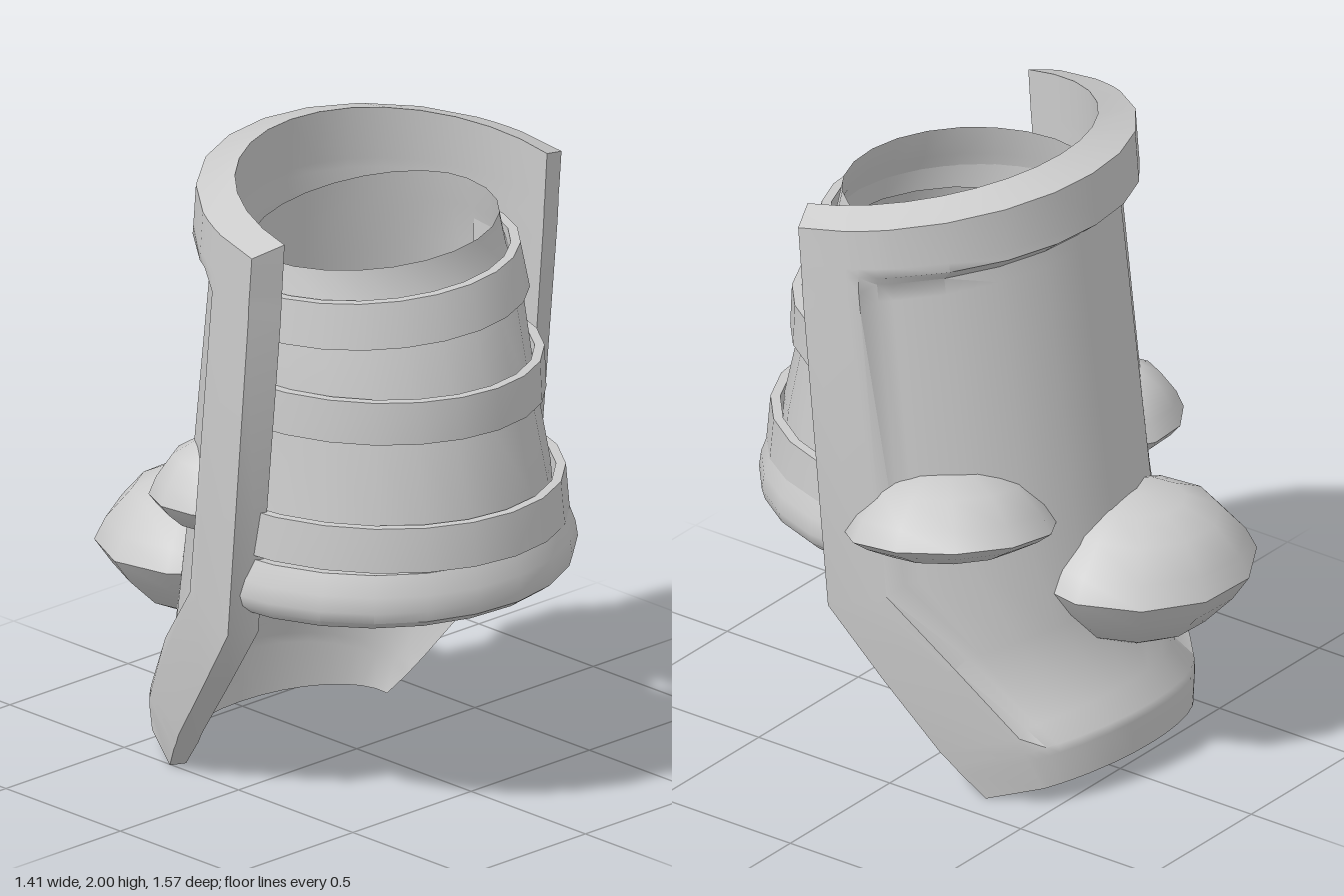
import * as THREE from 'three';
import { toCreasedNormals, mergeVertices } from 'three/addons/utils/BufferGeometryUtils.js';

const material = new THREE.MeshStandardMaterial({ color: 0xcccccc, side: THREE.DoubleSide });
const CX = -0.05;

// Skin over rows of points; each row is a closed loop of equal length
function loft(rows, crease = 0.6) {
  const n = rows[0].length;
  const index = [];
  for (let i = 0; i < rows.length - 1; i++) {
    for (let j = 0; j < n; j++) {
      const k = (j + 1) % n;
      const a = i * n + j, b = i * n + k, c = (i + 1) * n + k, d = (i + 1) * n + j;
      index.push(a, b, d, b, c, d);
    }
  }
  const g = new THREE.BufferGeometry();
  g.setAttribute('position', new THREE.Float32BufferAttribute(rows.flat(2), 3));
  g.setIndex(index);
  return toCreasedNormals(g, crease);
}

function part(name, geometry) {
  const mesh = new THREE.Mesh(geometry, material);
  mesh.name = name;
  return mesh;
}

// Curved half shell with a raised border and a recessed panel on its back
function shell() {
  // y and z at the back, y and z at the front edges, half width, edge thickness,
  // border start, panel?, inner lift at the back and at the edges
  const keys = [
    { yc: 1.97, ye: 1.86, zc: -0.355, ze: 0.27, w: 0.655, t: 0.1, edge: 0.8, panel: 0, lift: 0.03, liftEdge: 0.03 },
    { yc: 1.83, ye: 1.74, zc: -0.367, ze: 0.26, w: 0.655, t: 0.1, edge: 0.8, panel: 0, lift: 0, liftEdge: 0 },
    { yc: 1.80, ye: 1.71, zc: -0.37, ze: 0.257, w: 0.655, t: 0.1, edge: 0.8, panel: 0, lift: 0, liftEdge: 0 },
    { yc: 1.75, ye: 1.66, zc: -0.365, ze: 0.255, w: 0.655, t: 0.1, edge: 0.8, panel: 1, lift: 0, liftEdge: 0 },
    { yc: 1.70, ye: 1.60, zc: -0.372, ze: 0.25, w: 0.655, t: 0.1, edge: 0.8, panel: 1, lift: 0, liftEdge: 0 },
    { yc: 0.85, ye: 0.60, zc: -0.485, ze: 0.16, w: 0.65, t: 0.09, edge: 0.8, panel: 1, lift: 0, liftEdge: 0 },
    { yc: 0.56, ye: 0.37, zc: -0.522, ze: -0.01, w: 0.592, t: 0.075, edge: 0.71, panel: 1, lift: 0, liftEdge: 0 },
    { yc: 0.28, ye: 0.15, zc: -0.56, ze: -0.18, w: 0.53, t: 0.06, edge: 0.6, panel: 1, lift: 0, liftEdge: 0 },
    { yc: 0.23, ye: 0.11, zc: -0.58, ze: -0.21, w: 0.51, t: 0.055, edge: 0.58, panel: 0, lift: 0, liftEdge: 0 },
    { yc: 0.20, ye: 0.085, zc: -0.582, ze: -0.23, w: 0.5, t: 0.05, edge: 0.58, panel: 0, lift: 0, liftEdge: 0 },
    { yc: 0.09, ye: 0.00, zc: -0.578, ze: -0.295, w: 0.455, t: 0.03, edge: 0.58, panel: 0, lift: -0.05, liftEdge: 0.01 },
  ];
  const point = (k, u, inner) => {
    const s = Math.sin(u * Math.PI / 2), c = Math.cos(u * Math.PI / 2);
    const ye = k.ye + inner * k.liftEdge, yc = k.yc + inner * k.lift;
    const ze = k.ze + inner * 0.04, zc = k.zc + inner * 0.12;
    return [CX + (k.w - inner * k.t) * s, ye + (yc - ye) * c, ze + (zc - ze) * c];
  };
  const even = Array.from({ length: 17 }, (_, i) => i / 8 - 1);
  const loop = (k, capped) => {
    const e = k.edge, p = e - 0.06;
    const half = [1, e + 0.04, e, p, p - 0.05, p * 0.7, p * 0.45, p * 0.22];
    const us = [...half.map(u => -u), 0, ...half.slice().reverse()];
    const inner = even.map(u => point(k, u, 1));
    const outer = us.map(u => point(k, u, k.panel && Math.abs(u) < e - 0.01 ? 0.47 : 0));
    return [...(capped ? inner : outer), ...inner.slice().reverse()];
  };
  const last = keys[keys.length - 1];
  return loft([loop(keys[0], true), ...keys.map(k => loop(k, false)), loop(last, true)], 0.95);
}

const Z_SIDE = 0.12; // depth at which sleeve and straps are widest

// Tapered open tube; sections are [y, half width, front z, drop at the back]
function sleeve() {
  const sections = [[1.78, 0.42, 0.5, -0.01], [1.68, 0.44, 0.52, 0], [1.55, 0.47, 0.59, 0],
    [1.25, 0.485, 0.66, 0], [1.0, 0.515, 0.72, 0], [0.69, 0.55, 0.73, 0.06]];
  return loft(sections.map(([y, w, zf, drop]) => {
    const ring = [];
    for (let j = 0; j < 24; j++) {
      const a = j / 24 * Math.PI * 2, c = Math.cos(a), s = Math.sin(a);
      ring.push([CX - 0.02 + w * s, y + 0.02 * s - drop * Math.max(c, 0),
        Z_SIDE - c * (c > 0 ? 0.27 : zf - Z_SIDE)]);
    }
    return ring;
  }));
}

// Half-round strap; profile points are [y, half width, front z], outer side first, going down
function strap(profile, tilt) {
  const rows = [], steps = 12;
  for (let i = 0; i <= steps; i++) {
    const a = i / steps * Math.PI, c = Math.cos(a), s = Math.sin(a);
    rows.push(profile.map(([y, w, zf]) => [CX - 0.02 - w * c, y - tilt * c, Z_SIDE + (zf - Z_SIDE) * s]));
  }
  return loft(rows);
}

// Shelf fungus: a lens with a bell-shaped top, soft rim and rounded underside
function fungus(up, down) {
  const profile = [[0, -down], [0.3, -down * 0.95], [0.62, -down * 0.7], [0.86, -down * 0.32], [1, 0],
    [0.9, up * 0.32], [0.68, up * 0.72], [0.38, up * 0.95], [0, up]];
  const g = new THREE.LatheGeometry(profile.map(p => new THREE.Vector2(...p)), 11);
  g.deleteAttribute('normal');
  g.deleteAttribute('uv');
  return toCreasedNormals(mergeVertices(g), 0.85);
}

export function createModel() {
  const group = new THREE.Group();
  group.name = 'shellWithStraps';
  group.add(part('backShell', shell()), part('sleeve', sleeve()));

  // Straps around the front of the sleeve
  const bands = [
    ['upperStrap', 1.69, 1.55, 0.48, 0.57, 0.497, 0.61, 0.015],
    ['middleStrap', 1.385, 1.25, 0.507, 0.69, 0.513, 0.695, 0],
    ['lowerStrap', 1.0, 0.86, 0.57, 0.757, 0.58, 0.77, 0],
  ];
  for (const [name, top, bottom, w1, z1, w2, z2, tilt] of bands) {
    group.add(part(name, strap([[top, w1, z1], [bottom, w2, z2],
      [bottom, w2 - 0.05, z2 - 0.05], [top, w1 - 0.03, z1 - 0.03]], tilt)));
  }

  // Rounded hem at the bottom of the sleeve
  group.add(part('hem', strap([[0.865, 0.575, 0.762], [0.80, 0.6, 0.785], [0.75, 0.61, 0.79],
    [0.715, 0.6, 0.78], [0.69, 0.575, 0.745], [0.69, 0.55, 0.71], [0.86, 0.53, 0.7]], 0.02)));

  // Fungi growing through the shell: x, y, z, radius x, radius z, up, down, tilt about x and z
  const fungi = [
    ['backFungus', -0.17, 0.635, -0.44, 0.385, 0.355, 0.215, 0.25, -0.02, 0.03],
    ['leftFungus', 0.38, 0.87, -0.14, 0.335, 0.33, 0.195, 0.09, 0.16, 0.16],
    ['rightFungus', -0.45, 0.91, -0.14, 0.215, 0.21, 0.18, 0.11, 0, -0.05],
  ];
  for (const [name, x, y, z, rx, rz, up, down, tx, tz] of fungi) {
    const mesh = part(name, fungus(up, down));
    mesh.position.set(x, y, z);
    mesh.scale.set(rx, 1, rz);
    mesh.rotation.set(tx, 0, tz);
    group.add(mesh);
  }
  return group;
}
